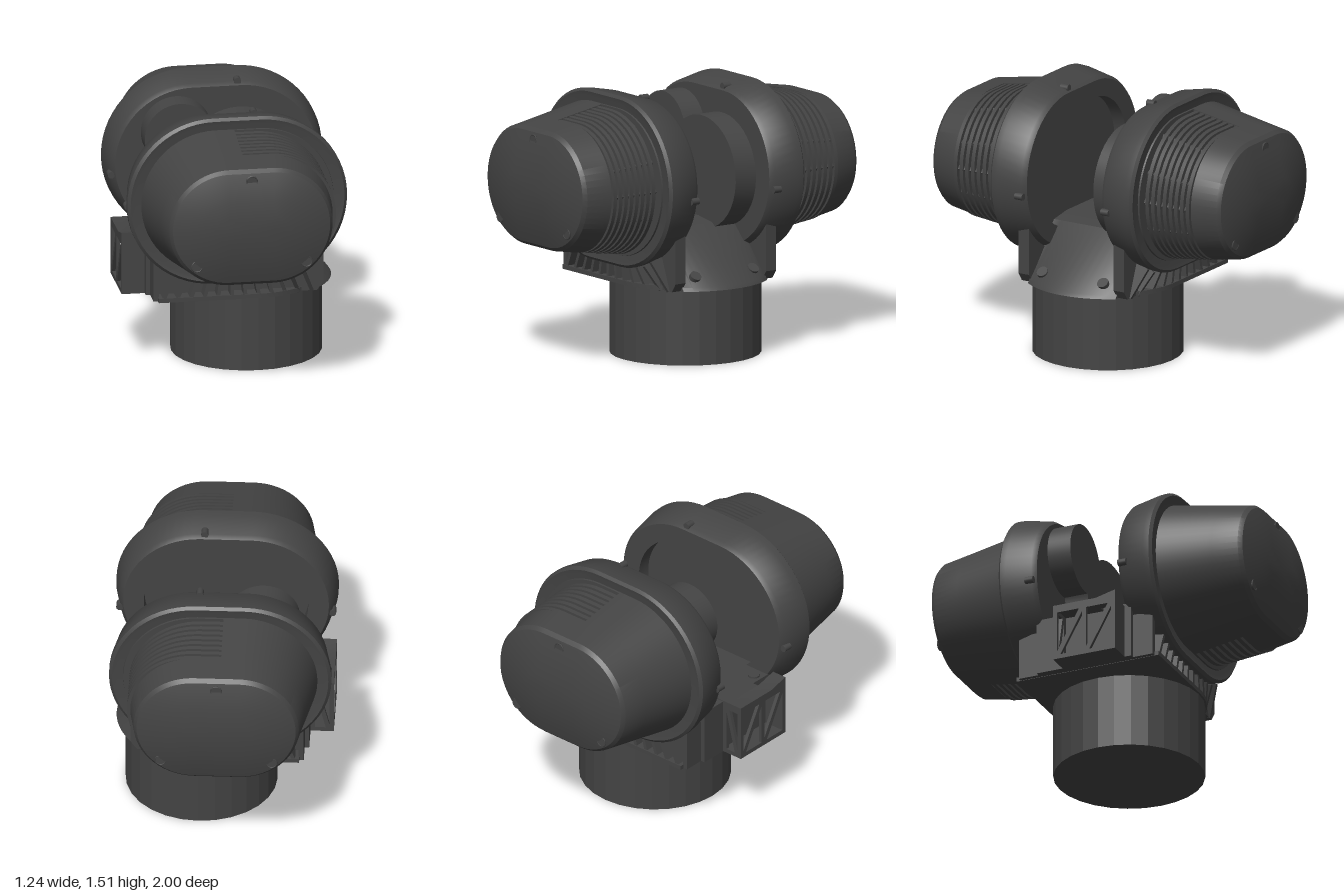
import * as THREE from 'three';
import { toCreasedNormals } from 'three/addons/utils/BufferGeometryUtils.js';

const CY = 1.02; // height of the pod axis
const mat = new THREE.MeshStandardMaterial({ color: 0x444444 });

function add(parent, name, geo, x = 0, y = 0, z = 0) {
  const m = new THREE.Mesh(geo, mat);
  m.name = name;
  m.position.set(x, y, z);
  parent.add(m);
  return m;
}

// Oval outline, counter-clockwise, split at x = SPLIT so the +x half may use another size
const ARC = 30, SPLIT = -0.02;
function oval(hx, hy, right = () => [hx, hy]) {
  const pts = [];
  const arc = (from, size) => {
    for (let i = 0; i <= ARC; i++) {
      const [w, h] = size(i), a = from + Math.PI * i / ARC;
      const s = Math.sign(Math.cos(from + Math.PI / 2)) * (w - h);
      pts.push([s + h * Math.cos(a), h * Math.sin(a)]);
    }
  };
  pts.push([SPLIT, -hy], [SPLIT, -right(0)[1]]);
  arc(-Math.PI / 2, right);
  pts.push([SPLIT, right(ARC)[1]], [SPLIT, hy]);
  arc(Math.PI / 2, () => [hx, hy]);
  return pts;
}

// Skin a series of [z, outline] sections running towards +z
function loft(sections, capStart, capEnd) {
  const pos = [];
  const tri = (...p) => {
    const [a, b, c] = p.map(v => new THREE.Vector3(...v));
    if (b.clone().sub(a).cross(c.clone().sub(a)).length() > 1e-9) pos.push(...p.flat());
  };
  const rings = sections.map(([z, pts]) => pts.map(([x, y]) => [x, y, z]));
  const n = rings[0].length;
  for (let k = 0; k + 1 < rings.length; k++) {
    for (let i = 0; i < n; i++) {
      const j = (i + 1) % n, A = rings[k], B = rings[k + 1];
      tri(A[i], A[j], B[j]);
      tri(A[i], B[j], B[i]);
    }
  }
  const first = rings[0], last = rings[rings.length - 1];
  for (let i = 0; i < n; i++) {
    const j = (i + 1) % n;
    if (capStart) tri([0, 0, first[0][2]], first[j], first[i]);
    if (capEnd) tri([0, 0, last[0][2]], last[i], last[j]);
  }
  const g = new THREE.BufferGeometry();
  g.setAttribute('position', new THREE.Float32BufferAttribute(pos, 3));
  return toCreasedNormals(g, 0.5);
}

const poly = pts => new THREE.Shape(pts.map(p => new THREE.Vector2(...p)));
const extrude = (shape, depth) =>
  toCreasedNormals(new THREE.ExtrudeGeometry(shape, { depth, bevelEnabled: false, curveSegments: 16 }), 0.5);

// Union of a large and a small circle, traced from a point inside both
function lobes() {
  const circles = [[0.13, -0.01, 0.32], [-0.23, 0.19, 0.2]];
  const ox = -0.106, oy = 0.121, pts = [];
  for (let i = 0; i < 72; i++) {
    const a = i / 72 * Math.PI * 2, c = Math.cos(a), s = Math.sin(a);
    const r = Math.max(...circles.map(([x, y, rad]) => {
      const dx = ox - x, dy = oy - y, b = dx * c + dy * s;
      return -b + Math.sqrt(Math.max(0, b * b - dx * dx - dy * dy + rad * rad));
    }));
    pts.push([ox + r * c, oy + r * s]);
  }
  return pts;
}

// One pod, facing +z: flange, cover with finned vent, screws
function makePod(name, hasSocket) {
  const pod = new THREE.Group();
  pod.name = name;
  pod.position.y = CY;
  add(pod, 'flange', loft([
    [0.25, oval(0.575, 0.435)], [0.275, oval(0.595, 0.452)], [0.42, oval(0.622, 0.482)],
    [0.455, oval(0.622, 0.486)], [0.47, oval(0.605, 0.47)], [0.465, oval(0.58, 0.447)],
  ], !hasSocket, true));
  if (hasSocket) {
    const plate = poly(oval(0.575, 0.435));
    plate.holes.push(poly(oval(0.46, 0.34)));
    add(pod, 'socketPlate', extrude(plate, 0.08), 0, 0, 0.25);
    add(pod, 'socketFloor', loft([[0.33, oval(0.56, 0.42)], [0.35, oval(0.56, 0.42)]], true, true));
  } else {
    add(pod, 'matingBoss', extrude(poly(lobes()), 0.16), 0, 0, 0.11);
  }
  for (const [x, y] of [[0.595, -0.06], [-0.595, -0.06], [0.12, 0.455]]) {
    add(pod, 'flangeBolt', new THREE.CylinderGeometry(0.02, 0.02, 0.05, 12).rotateX(Math.PI / 2), x, y, 0.285);
  }

  // Cover: tapered oval whose +x half is stepped into fins, flush above and below
  const at = z => {
    const t = (z - 0.46) / 0.47;
    return [0.545 - 0.085 * t, 0.42 - 0.082 * t];
  };
  const sections = [[0.455, oval(...at(0.455))], [0.475, oval(...at(0.475))]];
  const fins = 8, pitch = 0.305 / fins, bars = [5, 11, 15, 19, 25];
  const fin = z => () => [0.506, at(z)[1] - 0.004];
  const groove = z => i => {
    const cut = bars.includes(i) ? 0.01 : 0.033;
    return [0.506 - cut, at(z)[1] - 0.004 - cut];
  };
  for (let k = 0; k < fins; k++) {
    const z0 = 0.475 + k * pitch, z1 = z0 + pitch * 0.4, z2 = z0 + pitch;
    for (const [z, size] of [[z0, groove], [z1, groove], [z1, fin], [z2, fin]]) {
      sections.push([z, oval(...at(z), size(z))]);
    }
  }
  sections.push([0.78, oval(...at(0.78))], [0.93, oval(0.462, 0.338)], [0.952, oval(0.445, 0.318)],
    [0.973, oval(0.375, 0.245)], [0.989, oval(0.28, 0.16)], [1, oval(0.2, 0.07)]);
  add(pod, 'cover', loft(sections, false, true));

  for (const [x, y] of [[0, 0.275], [-0.31, -0.21], [0.31, -0.21]]) {
    add(pod, 'screwCollar', new THREE.TorusGeometry(0.03, 0.004, 6, 20), x, y, 0.964);
    add(pod, 'screw', new THREE.CylinderGeometry(0.03, 0.03, 0.03, 16).rotateX(Math.PI / 2), x, y, 0.951);
  }
  return pod;
}

// Straight bar between two points
function bar(parent, name, a, b, width, depth) {
  const p = new THREE.Vector3(...a), q = new THREE.Vector3(...b), d = q.clone().sub(p);
  const m = add(parent, name, new THREE.BoxGeometry(width, d.length(), depth));
  m.position.copy(p).add(q).multiplyScalar(0.5);
  m.quaternion.setFromUnitVectors(new THREE.Vector3(0, 1, 0), d.normalize());
}

// Support below one pod: curved cradle web and a fan of ribs
function makeCradle(name) {
  const g = new THREE.Group();
  g.name = name;
  const curve = [];
  for (let i = 0; i <= 20; i++) {
    const x = 0.505 - i * 0.04725, dx = Math.max(0, Math.abs(x) - 0.135);
    curve.push([x, CY - Math.sqrt(0.46 ** 2 - dx * dx)]);
  }
  add(g, 'cradleWeb', extrude(poly([[-0.44, 0.43], [0.47, 0.43], [0.505, 0.48], ...curve]), 0.07), 0, 0, 0.28);
  for (let i = 0; i < 12; i++) {
    const x = -0.41 + i * 0.077, dx = Math.max(0, x - 0.125);
    const edge = Math.max(0.36, Math.sqrt(0.43 ** 2 - dx * dx)), top = x * 0.84;
    const drop = Math.max(0, Math.abs(top) - 0.135);
    bar(g, 'cradleRib', [x, 0.445, edge - 0.05], [top, 1.03 - Math.sqrt(0.48 ** 2 - drop * drop), 0.38], 0.02, 0.1);
  }
  bar(g, 'cradlePost', [-0.45, 0.43, 0.34], [-0.45, 0.69, 0.34], 0.03, 0.14);
  return g;
}

export function createModel() {
  const model = new THREE.Group();
  model.name = 'twinPodUnit';

  // Pods face opposite ways; the rear one is the mirror with a boss
  const rear = makePod('rearPod', false);
  const rearCradle = makeCradle('rearCradle');
  rear.scale.z = rearCradle.scale.z = -1;
  model.add(makePod('frontPod', true), rear, makeCradle('frontCradle'), rearCradle);

  // Base drum and the plate on top of it
  add(model, 'baseDrum', toCreasedNormals(new THREE.CylinderGeometry(0.425, 0.425, 0.43, 28), 0.2), 0.125, 0.215, 0);
  const plate = new THREE.Shape();
  plate.moveTo(-0.44, -0.435);
  plate.lineTo(0.125, -0.435);
  plate.absarc(0.125, 0, 0.435, -Math.PI / 2, Math.PI / 2, false);
  plate.lineTo(-0.44, 0.435);
  add(model, 'basePlate', extrude(plate, 0.025).rotateX(-Math.PI / 2), 0, 0.428, 0);

  // Saddle between the pods, its +x end sloping down to a rounded ear
  const saddle = new THREE.ExtrudeGeometry(poly([[-0.49, 0.43], [0.6, 0.43], [0.585, 0.45], [0.23, 0.735],
    [0.1, 0.755], [-0.49, 0.755]]), { depth: 0.58, steps: 12, bevelEnabled: false });
  saddle.translate(0, 0, -0.29);
  const p = saddle.attributes.position;
  for (let i = 0; i < p.count; i++) {
    if (p.getX(i) > 0.5) p.setX(i, p.getX(i) - 0.475 + Math.sqrt(0.475 ** 2 - p.getZ(i) ** 2));
  }
  add(model, 'saddle', toCreasedNormals(saddle, 0.5));
  for (const s of [-1, 1]) {
    const ear = add(model, 'earBolt', new THREE.CylinderGeometry(0.033, 0.033, 0.03, 16), 0.485, 0.5, s * 0.2);
    ear.rotation.z = -0.68;
    add(model, 'deckBolt', new THREE.CylinderGeometry(0.033, 0.033, 0.03, 16), -0.44, 0.75, s * 0.19);
  }

  // Side bracket: hollow box with braced windows and a ramped lid
  const box = new THREE.Group();
  box.name = 'sideBracket';
  model.add(box);
  const panel = (w, h, cols) => {
    const shape = poly([[0, 0], [w, 0], [w, h], [0, h]]), t = 0.025, cw = (w - t) / cols;
    for (let i = 0; i < cols; i++) {
      const a = t + i * cw, b = (i + 1) * cw, lo = t, hi = h - t, e = 0.02;
      shape.holes.push(poly([[a, lo + e], [b - e, hi], [a, hi]]), poly([[a + e, lo], [b, lo], [b, hi - e]]));
    }
    return extrude(shape, 0.02);
  };
  const lid = poly([[-0.13, 0.735], [0.25, 0.735], [0.25, 0.79], [0.13, 0.76], [-0.13, 0.76]]);
  add(box, 'bracketLid', extrude(lid, 0.09).rotateY(-Math.PI / 2), -0.53, 0, 0);
  add(box, 'bracketShelf', new THREE.BoxGeometry(0.14, 0.025, 0.25), -0.46, 0.7475, -0.005);
  add(box, 'bracketFloor', new THREE.BoxGeometry(0.23, 0.02, 0.38), -0.505, 0.44, 0.06);
  add(box, 'outerLattice', panel(0.38, 0.31, 2).rotateY(-Math.PI / 2), -0.6, 0.43, -0.13);
  add(box, 'rearLattice', panel(0.13, 0.31, 1), -0.62, 0.43, -0.13);
  add(box, 'frontWall', new THREE.BoxGeometry(0.13, 0.31, 0.02), -0.555, 0.585, 0.24);
  return model;
}
